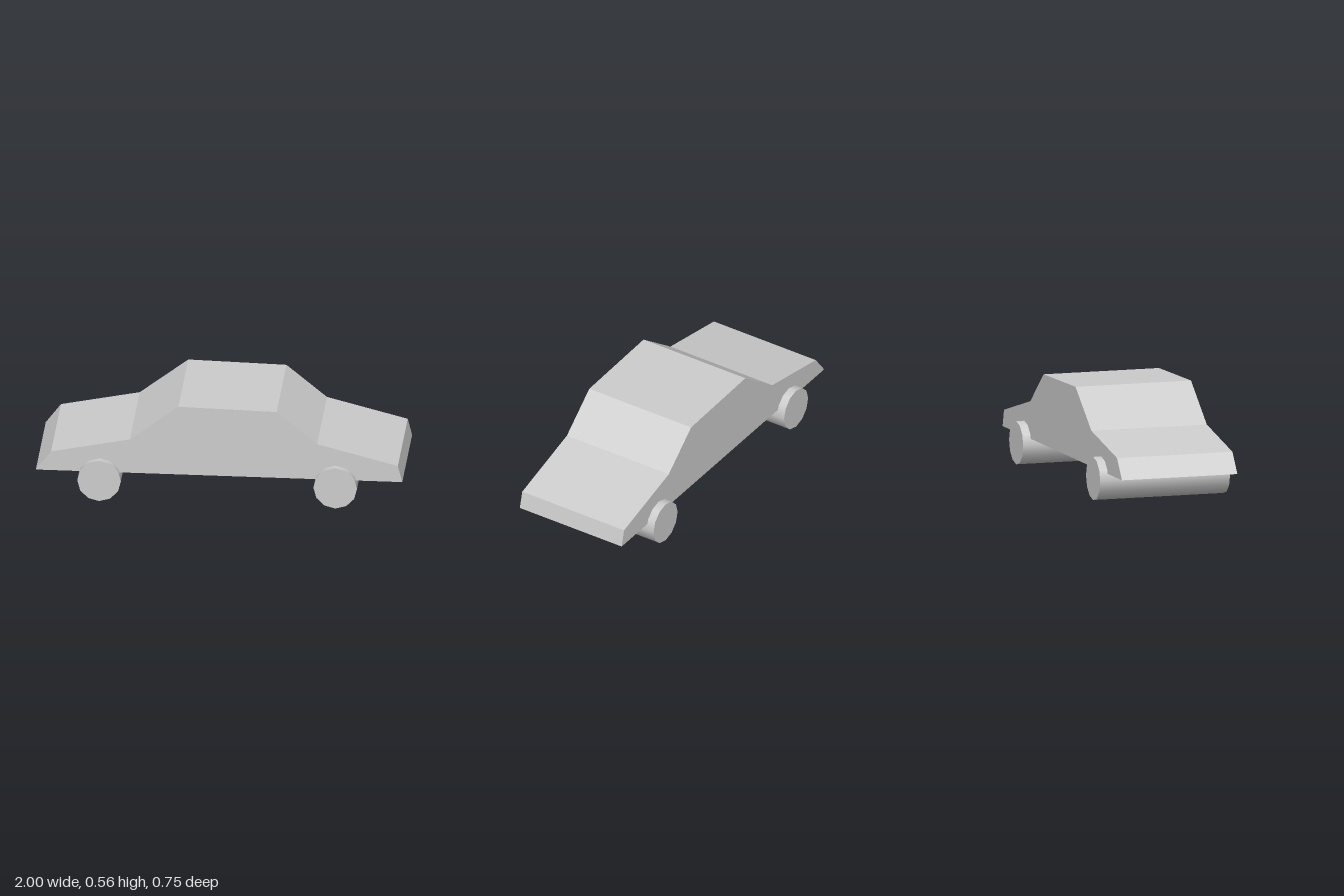
import * as THREE from 'three';

const grey = new THREE.MeshStandardMaterial({ color: 0xcccccc });

// Car silhouette from the side, extruded across the width
function makeBody() {
  const profile = [
    [-1, 0.16], [1, 0.154], [0.976, 0.248], [0.535, 0.362],
    [0.314, 0.544], [-0.222, 0.557], [-0.487, 0.355], [-0.917, 0.27],
  ];
  const shape = new THREE.Shape(profile.map(([x, y]) => new THREE.Vector2(x, y)));
  const geometry = new THREE.ExtrudeGeometry(shape, { depth: 0.664, bevelEnabled: false });
  geometry.translate(0, 0, -0.327);
  const body = new THREE.Mesh(geometry, grey);
  body.name = 'body';
  return body;
}

// One full-width roller serves as a pair of wheels
function makeWheelPair(name, x) {
  const radius = 0.119;
  const geometry = new THREE.CylinderGeometry(radius, radius, 0.747, 12);
  geometry.rotateX(Math.PI / 2);
  const wheels = new THREE.Mesh(geometry, grey);
  wheels.name = name;
  wheels.position.set(x, 0.12, 0);
  return wheels;
}

export function createModel() {
  const car = new THREE.Group();
  car.name = 'car';
  car.add(
    makeBody(),
    makeWheelPair('leftWheelPair', 0.637),
    makeWheelPair('rightWheelPair', -0.652),
  );
  return car;
}
